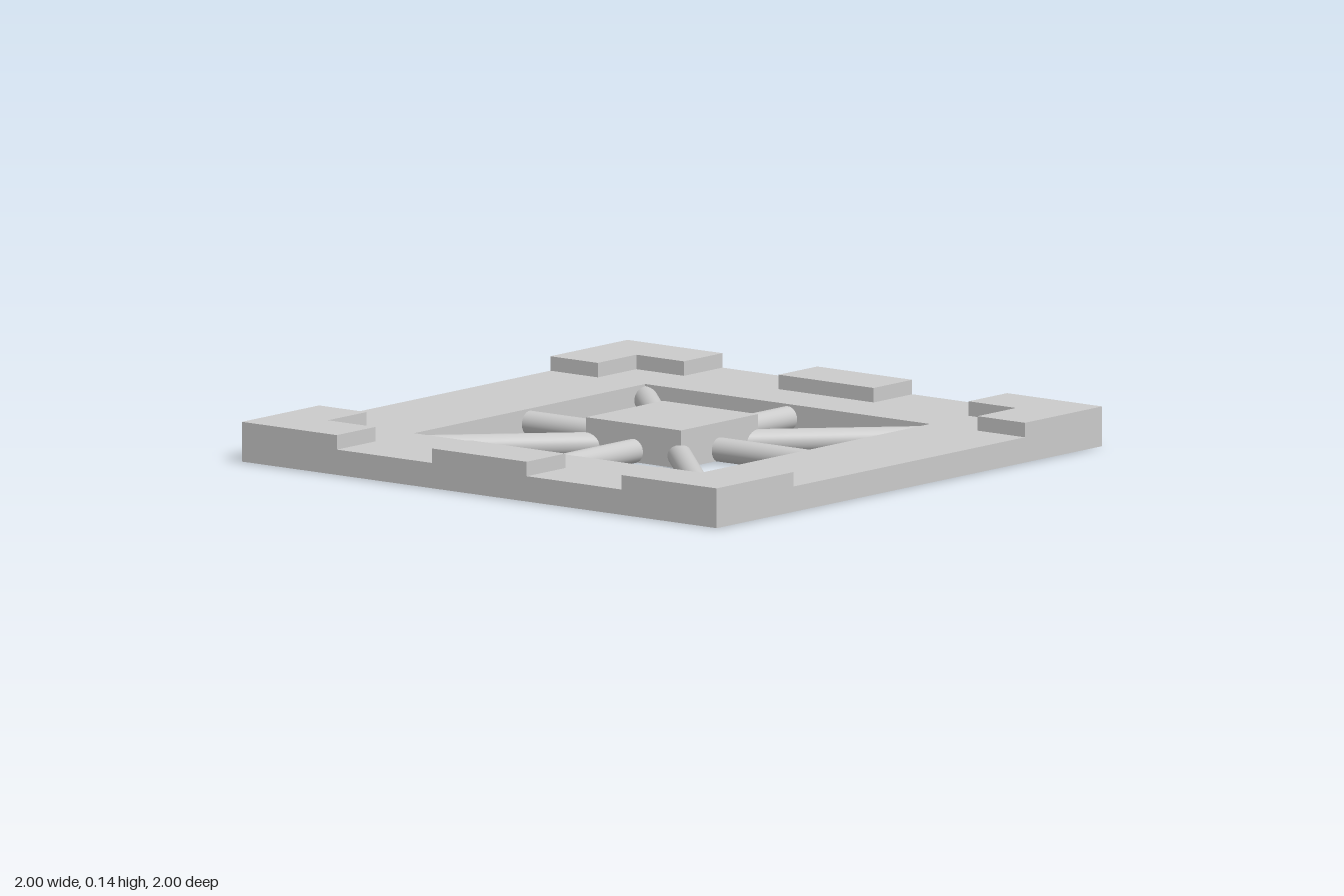
import * as THREE from 'three';

const BASE = 0.003, DECK = 0.087, TOP = 0.135;

export function createModel() {
  const model = new THREE.Group();
  const material = new THREE.MeshStandardMaterial({ color: 0xcccccc });

  const add = (name, geometry) => {
    const mesh = new THREE.Mesh(geometry, material);
    mesh.name = name;
    model.add(mesh);
    return mesh;
  };
  const outline = (points) => points.map(([x, y]) => new THREE.Vector2(x, y));
  const square = (h) => outline([[-h, -h], [h, -h], [h, h], [-h, h]]);
  // Extrude a plan shape upward from y0 to y1
  const slab = (shape, y0, y1) =>
    new THREE.ExtrudeGeometry(shape, { depth: y1 - y0, bevelEnabled: false })
      .rotateX(-Math.PI / 2)
      .translate(0, y0, 0);

  // Square frame with an open window
  const frame = new THREE.Shape(square(1));
  frame.holes.push(new THREE.Path(square(0.6)));
  add('frame', slab(frame, BASE, DECK));

  // Raised L-shaped corner blocks
  const corner = new THREE.Shape(
    outline([[1, 1], [0.6, 1], [0.6, 0.8], [0.8, 0.8], [0.8, 0.6], [1, 0.6]])
  );
  for (let i = 0; i < 4; i++) {
    add('cornerBlock', slab(corner, DECK, TOP)).rotation.y = (i * Math.PI) / 2;
  }

  // Raised blocks in the middle of the front and back rails
  for (const side of [1, -1]) {
    add('middleBlock', new THREE.BoxGeometry(0.4, TOP - DECK, 0.2))
      .position.set(0, (DECK + TOP) / 2, 0.9 * side);
  }

  // Central hub
  add('hub', new THREE.BoxGeometry(0.4, 0.13 - BASE, 0.4))
    .position.y = (0.13 + BASE) / 2;

  // Round bars through the hub: two straight, two diagonal
  const bars = [
    ['crossBar', 0, 1.56],
    ['longBar', Math.PI / 2, 1.56],
    ['diagonalBar', -Math.PI / 4, 2.31],
    ['diagonalBar', Math.PI / 4, 2.07],
  ];
  for (const [name, angle, length] of bars) {
    const bar = add(name, new THREE.CylinderGeometry(0.04, 0.04, length, 32).rotateZ(Math.PI / 2));
    bar.position.y = 0.04;
    bar.rotation.y = angle;
  }

  return model;
}
